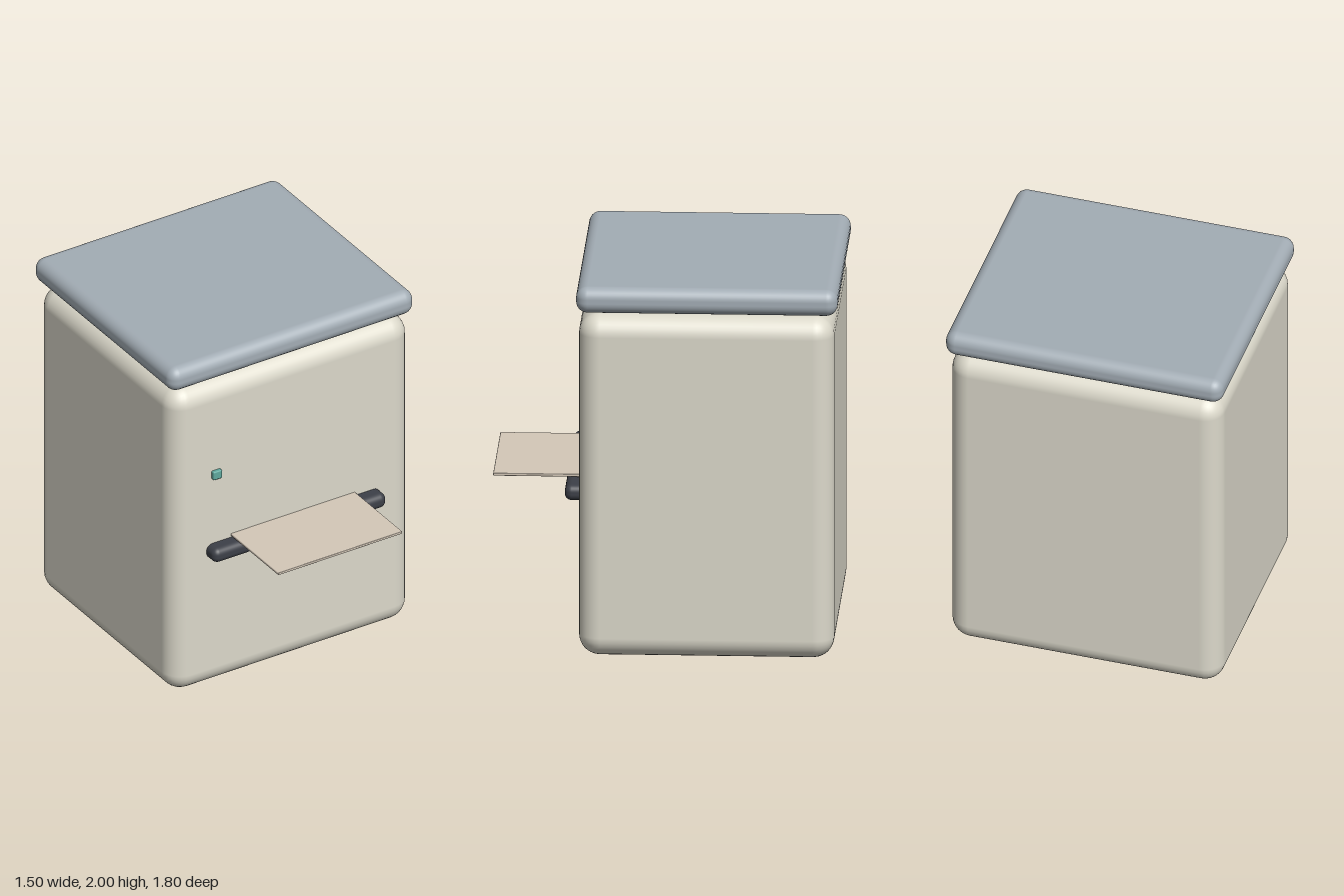
import * as THREE from 'three';
import { RoundedBoxGeometry } from 'three/addons/geometries/RoundedBoxGeometry.js';

// Rounded block spanning min..max on each axis
function block(name, color, [x0, y0, z0], [x1, y1, z1], radius, segments = 4) {
  const geometry = new RoundedBoxGeometry(x1 - x0, y1 - y0, z1 - z0, segments, radius);
  const mesh = new THREE.Mesh(geometry, new THREE.MeshStandardMaterial({ color }));
  mesh.name = name;
  mesh.position.set((x0 + x1) / 2, (y0 + y1) / 2, (z0 + z1) / 2);
  return mesh;
}

export function createModel() {
  const model = new THREE.Group();
  model.name = 'documentCabinet';

  // Main housing and the lid hovering just above it
  model.add(block('body', 0xdcd9cb, [-0.735, 0.003, -0.88], [0.735, 1.843, 0.443], 0.11));
  model.add(block('lid', 0xa3adb5, [-0.75, 1.86, -0.9], [0.75, 2, 0.455], 0.06));

  // Dark slot bar on the front, with a sheet resting on it
  model.add(block('slot', 0x3d4048, [-0.53, 0.79, 0.37], [0.53, 0.874, 0.523], 0.036));
  model.add(block('sheet', 0xd4c8b8, [-0.38, 0.88, 0.37], [0.38, 0.895, 0.9], 0.004, 2));

  // Small indicator light
  model.add(block('indicatorLight', 0x5fa89e, [-0.5, 1.267, 0.44], [-0.446, 1.317, 0.465], 0.007, 2));

  return model;
}
